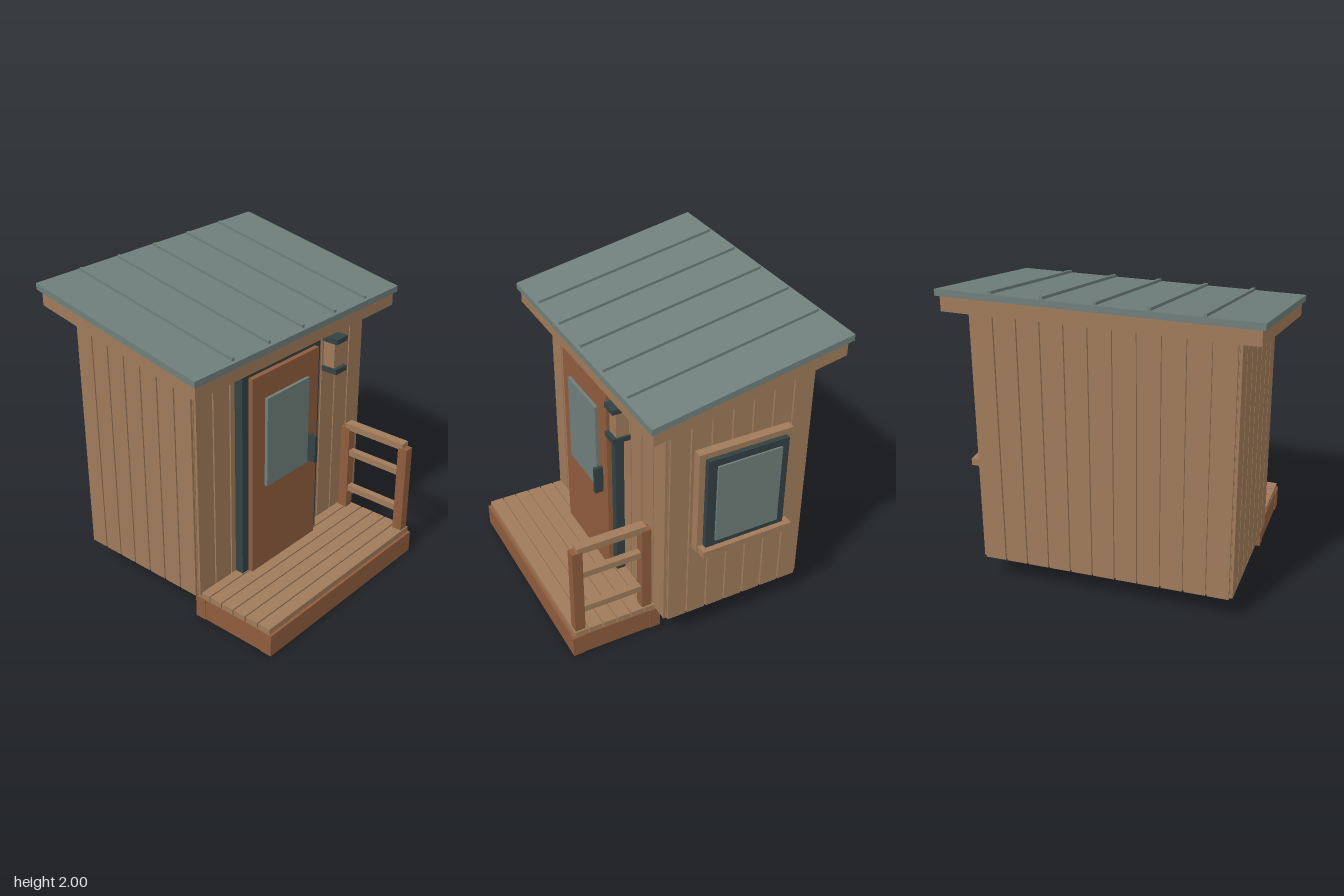
import * as THREE from 'three';

const mat = (name, color) => {
  const m = new THREE.MeshStandardMaterial({ color });
  m.name = name;
  return m;
};

export function createModel() {
  const root = new THREE.Group();
  root.name = 'shed';
  const wood = mat('tan wood', 0xa07b5b);
  const brown = mat('red brown wood', 0x8f5c3d);
  const dark = mat('dark trim', 0x334143);
  const metal = mat('roof metal', 0x6f7f7b);
  const glass = mat('glass', 0x6f7e7a);

  const group = (name) => {
    const g = new THREE.Group();
    g.name = name;
    root.add(g);
    return g;
  };

  // Box given by its limits; y limits may be functions of z for sloped parts
  const block = (parent, name, material, [x0, x1], [y0, y1], [z0, z1]) => {
    const geo = new THREE.BoxGeometry(1, 1, 1);
    const p = geo.attributes.position;
    const at = (y, z) => (typeof y === 'function' ? y(z) : y);
    for (let i = 0; i < p.count; i++) {
      const z = p.getZ(i) < 0 ? z0 : z1;
      p.setXYZ(i, p.getX(i) < 0 ? x0 : x1, at(p.getY(i) < 0 ? y0 : y1, z), z);
    }
    geo.computeVertexNormals();
    const m = new THREE.Mesh(geo, material);
    m.name = name;
    parent.add(m);
    return m;
  };

  // Height of the sloped eave line, with an offset
  const slope = (offset) => (z) => 1.693 - 0.189 * z + offset;

  // Walls: core with vertical boards on all four sides
  const walls = group('walls');
  const base = 0.17, cx = 0.007, gap = 0.01;
  block(walls, 'wallCore', wood, [cx - 0.8, cx + 0.8], [base, slope(0.01)], [-0.687, 0.26]);
  const frontCount = 11, frontPitch = 1.6 / frontCount;
  for (let i = 0; i < frontCount; i++) {
    const x = cx - 0.8 + i * frontPitch;
    const xs = [x + gap / 2, x + frontPitch - gap / 2];
    block(walls, 'frontBoard', wood, xs, [base, slope(0.01)], [0.255, 0.277]);
    block(walls, 'backBoard', wood, xs, [base, slope(0.01)], [-0.704, -0.68]);
  }
  const sideCount = 7, sidePitch = 0.947 / sideCount;
  for (let i = 0; i < sideCount; i++) {
    const z = -0.687 + i * sidePitch;
    for (const s of [-1, 1]) {
      const xs = [cx + s * 0.79, cx + s * 0.815].sort((a, b) => a - b);
      block(walls, 'sideBoard', wood, xs, [base, slope(0.01)],
        [z + gap / 2, z + sidePitch - gap / 2]);
    }
  }

  // Roof: timber slab, metal sheet and standing seams
  const roof = group('roof');
  block(roof, 'roofSlab', wood, [-0.937, 0.928], [slope(0), slope(0.095)], [-0.815, 0.42]);
  block(roof, 'roofSheet', metal, [-0.958, 0.948], [slope(0.095), slope(0.135)], [-0.84, 0.44]);
  for (let i = -2; i <= 2; i++) {
    const x = -0.006 + i * 0.311;
    block(roof, 'roofSeam', metal, [x - 0.01, x + 0.01], [slope(0.13), slope(0.153)], [-0.82, 0.42]);
  }

  // Door with frame, pane and handle
  const door = group('door');
  for (const x of [-0.46, 0.22])
    block(door, 'doorJamb', dark, [x, x + 0.055], [0.185, 1.585], [0.27, 0.335]);
  block(door, 'doorHeader', dark, [-0.405, 0.22], [1.535, 1.585], [0.27, 0.335]);
  block(door, 'doorLeaf', brown, [-0.405, 0.222], [0.185, 1.535], [0.27, 0.367]);
  block(door, 'doorPane', glass, [-0.29, 0.108], [0.772, 1.375], [0.36, 0.388]);
  block(door, 'doorHandle', dark, [0.136, 0.161], [0.768, 0.955], [0.367, 0.425]);

  // Side window
  const win = group('window');
  block(win, 'windowCasing', wood, [0.83, 0.888], [0.712, 1.425], [-0.523, 0.105]);
  block(win, 'windowFrame', dark, [0.88, 0.922], [0.755, 1.388], [-0.477, 0.065]);
  block(win, 'windowPane', glass, [0.91, 0.934], [0.8, 1.342], [-0.427, 0.005]);
  block(win, 'windowSill', wood, [0.835, 0.957], [0.714, 0.76], [-0.518, 0.098]);

  // Wall lamp
  const lamp = group('lamp');
  block(lamp, 'lampBody', wood, [0.34, 0.425], [1.35, 1.53], [0.315, 0.4]);
  for (const y of [1.32, 1.525])
    block(lamp, 'lampPlate', dark, [0.328, 0.436], [y, y + 0.034], [0.312, 0.427]);

  // Porch: open base frame with spaced deck boards
  const porch = group('porch');
  for (const z of [0.235, 0.763])
    block(porch, 'porchBeam', brown, [-0.785, 0.685], [0, 0.147], [z, z + 0.077]);
  for (const x of [-0.78, 0.603])
    block(porch, 'porchEndBeam', brown, [x, x + 0.077], [0, 0.147], [0.312, 0.763]);
  for (let i = 0; i < 6; i++) {
    const z = 0.822 - i * 0.0965;
    block(porch, 'deckBoard', wood, [-0.777, 0.678], [0.147, 0.185], [z - 0.088, z]);
  }

  // Railing on the left end of the porch
  const rail = group('railing');
  for (const z of [0.29, 0.748])
    block(rail, 'railPost', brown, [0.603, 0.667], [0.185, 0.8], [z, z + 0.067]);
  block(rail, 'topRail', wood, [0.603, 0.667], [0.79, 0.835], [0.325, 0.782]);
  for (const y of [0.315, 0.59])
    block(rail, 'midRail', wood, [0.612, 0.658], [y, y + 0.043], [0.35, 0.755]);

  return root;
}
